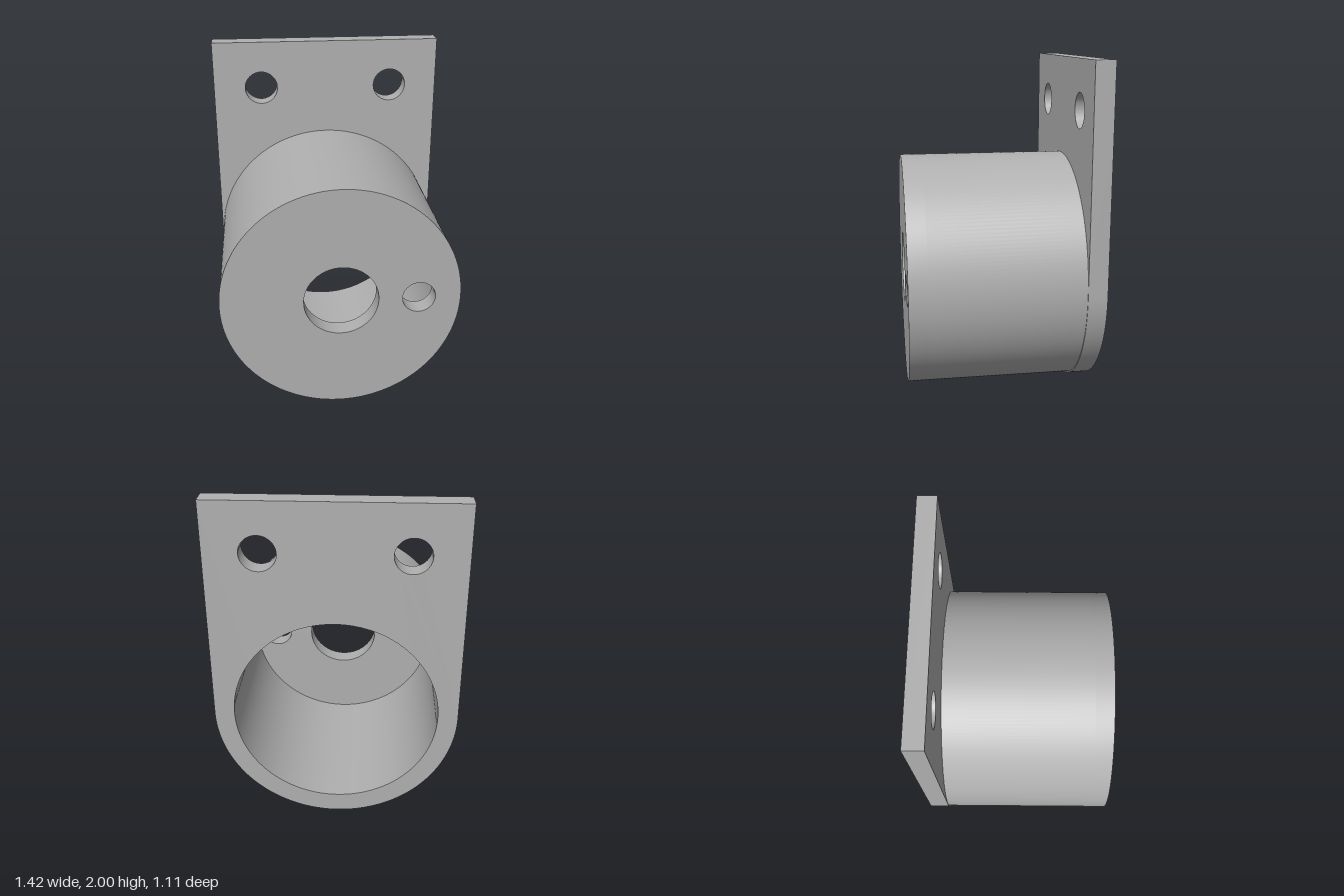
import * as THREE from 'three';
import { toCreasedNormals } from 'three/addons/utils/BufferGeometryUtils.js';

const CENTRE_Y = 0.711;   // barrel axis height
const BACK = -0.555, PLATE_FRONT = -0.442, CAP_BACK = 0.444, FRONT = 0.555;
const OUTER = 0.703, BORE = 0.592;

// Adds a full circle to a shape or path
const circle = (path, x, y, r) => path.absarc(x, y, r, 0, Math.PI * 2, false);

// Extrudes a shape with round holes [x, y, r] between two z positions
function solid(name, shape, holes, z0, z1, material) {
  for (const [x, y, r] of holes) shape.holes.push(circle(new THREE.Path(), x, y, r));
  const geometry = new THREE.ExtrudeGeometry(shape, { depth: z1 - z0, bevelEnabled: false, curveSegments: 96 });
  geometry.translate(0, 0, z0);
  const mesh = new THREE.Mesh(toCreasedNormals(geometry, 0.5), material);
  mesh.name = name;
  return mesh;
}

export function createModel() {
  const grey = new THREE.MeshStandardMaterial({ color: 0xb0b0b0 });
  grey.name = 'plain grey';
  const group = new THREE.Group();
  group.name = 'motorMount';

  // Mounting plate: square top, round bottom, two screw holes and the open bore
  const w = 0.708;
  const plate = new THREE.Shape();
  plate.moveTo(w, 2);
  plate.lineTo(-w, 2);
  plate.lineTo(-w, w);
  plate.absarc(0, w, w, Math.PI, Math.PI * 2, false);
  plate.closePath();
  group.add(solid('mountingPlate', plate,
    [[-0.41, 1.71, 0.102], [0.41, 1.71, 0.102], [0, CENTRE_Y, BORE]], BACK, PLATE_FRONT, grey));

  // Hollow barrel
  group.add(solid('barrel', circle(new THREE.Shape(), 0, CENTRE_Y, OUTER),
    [[0, CENTRE_Y, BORE]], PLATE_FRONT, CAP_BACK, grey));

  // Front wall with the shaft hole and a small side hole
  group.add(solid('frontCap', circle(new THREE.Shape(), 0, CENTRE_Y, OUTER),
    [[0, 0.713, 0.219], [0.456, 0.713, 0.097]], CAP_BACK, FRONT, grey));

  return group;
}
